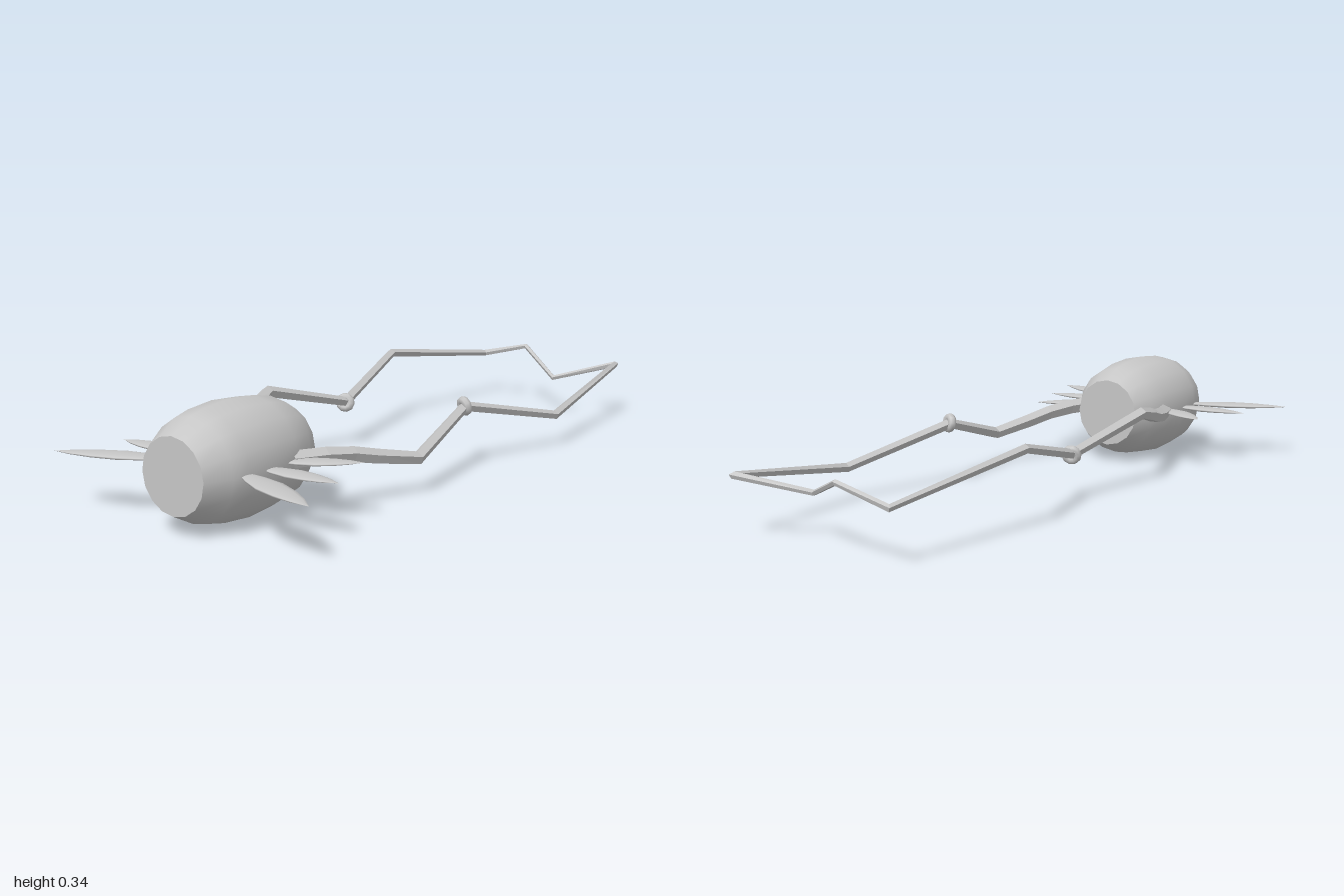
import * as THREE from 'three';

const grey = new THREE.MeshStandardMaterial({ color: 0xc6c6c6 });
grey.name = 'plain grey';
const MID = 0.175;

function add(parent, name, geometry) {
  const mesh = new THREE.Mesh(geometry, grey);
  mesh.name = name;
  parent.add(mesh);
  return mesh;
}

// Tapered tube with mitred corners; each station is [x, y, z, radius]
function taperedCord(stations, sides) {
  const pts = stations.map(s => new THREE.Vector3(s[0], s[1], s[2]));
  const pos = [], idx = [], last = pts.length - 1;
  pts.forEach((p, i) => {
    const into = pts[i].clone().sub(pts[Math.max(i - 1, 0)]).normalize();
    const out = pts[Math.min(i + 1, last)].clone().sub(p).normalize();
    const dir = into.clone().add(out).normalize();
    const side = new THREE.Vector3(0, 1, 0).cross(dir).normalize();
    const up = dir.clone().cross(side);
    const cosHalf = Math.max(dir.dot(i < last ? out : into), 0.65);
    for (let k = 0; k < sides; k++) {
      const a = Math.PI / 2 + k / sides * Math.PI * 2, r = stations[i][3];
      const v = p.clone().addScaledVector(side, Math.cos(a) * r / cosHalf)
        .addScaledVector(up, Math.sin(a) * r);
      pos.push(v.x, v.y, v.z);
      if (i < last) {
        const n = (k + 1) % sides, A = i * sides + k, B = i * sides + n;
        idx.push(A, B, B + sides, A, B + sides, A + sides);
      }
    }
  });
  const g = new THREE.BufferGeometry();
  g.setAttribute('position', new THREE.Float32BufferAttribute(pos, 3));
  g.setIndex(idx);
  const flat = g.toNonIndexed();
  flat.computeVertexNormals();
  return flat;
}

export function createModel() {
  const model = new THREE.Group();
  model.name = 'beadOnCord';

  // Barrel bead lying along z, with flat end caps
  const bead = new THREE.Group();
  bead.name = 'bead';
  bead.position.y = MID;
  model.add(bead);
  const profile = [[0.113, 0.535], [0.148, 0.595], [0.163, 0.67], [0.171, 0.77], [0.163, 0.87],
    [0.151, 0.925], [0.112, 1]].map(p => new THREE.Vector2(...p));
  add(bead, 'barrel', new THREE.LatheGeometry(profile, 16).rotateX(Math.PI / 2));
  add(bead, 'frontCap', new THREE.CircleGeometry(0.112, 16).rotateZ(Math.PI / 2).translate(0, 0, 1));
  add(bead, 'backCap', new THREE.CircleGeometry(0.113, 16).rotateZ(Math.PI / 2)
    .rotateY(Math.PI).translate(0, 0, 0.535));

  // Three flat pointed leaves on each side: root x, root z, tip x, tip z, half width
  const leaves = [
    [0.13, 0.865, 0.465, 0.998, 0.043],
    [0.13, 0.79, 0.398, 0.79, 0.039],
    [0.13, 0.715, 0.328, 0.585, 0.039],
  ];
  const outline = [[0.3, 0], [0.75, 0.2], [1, 0.42], [0.85, 0.65], [0.5, 0.84], [0, 1]];
  for (const s of [1, -1]) {
    for (const [rx, rz, tx, tz, w] of leaves) {
      const dx = s * (tx - rx), dz = tz - rz, len = Math.hypot(dx, dz);
      const pts = outline.map(([r, t]) => new THREE.Vector2(r * w, t * len));
      const g = new THREE.LatheGeometry(pts, 10);
      g.scale(1, 1, 0.2);
      g.rotateX(Math.PI / 2);
      g.rotateY(Math.atan2(dx, dz));
      add(model, s > 0 ? 'leftLeaf' : 'rightLeaf', g).position.set(s * rx, MID, rz);
    }
  }

  // Cord arms: the two sides wave in opposite directions (x, y offset, z, radius)
  const arm = [
    [0.145, 0.0, 0.68, 0.026], [0.185, -0.004, 0.58, 0.026], [0.215, -0.015, 0.49, 0.024],
    [0.242, -0.034, 0.41, 0.023], [0.288, -0.062, 0.27, 0.02], [0.235, 0.024, -0.06, 0.017],
    [0.333, -0.066, -0.455, 0.015], [0.275, 0.01, -0.985, 0.011],
  ];
  const side = s => arm.map(([x, y, z, r]) => [s * x, MID + s * y, z, r]);
  const back = [[0.095, 0.135, -0.86, 0.009], [-0.095, 0.21, -0.985, 0.009]];
  add(model, 'cord', taperedCord([...side(1), ...back, ...side(-1).reverse()], 5));

  // A knot wrapped round each arm
  for (const s of [1, -1]) {
    const knot = add(model, s > 0 ? 'leftKnot' : 'rightKnot', new THREE.TorusGeometry(0.018, 0.014, 8, 10));
    knot.position.set(s * 0.235, MID + s * 0.026, -0.06);
    knot.rotation.set(0.25 * s, -0.4 * s, 0);
  }
  return model;
}
